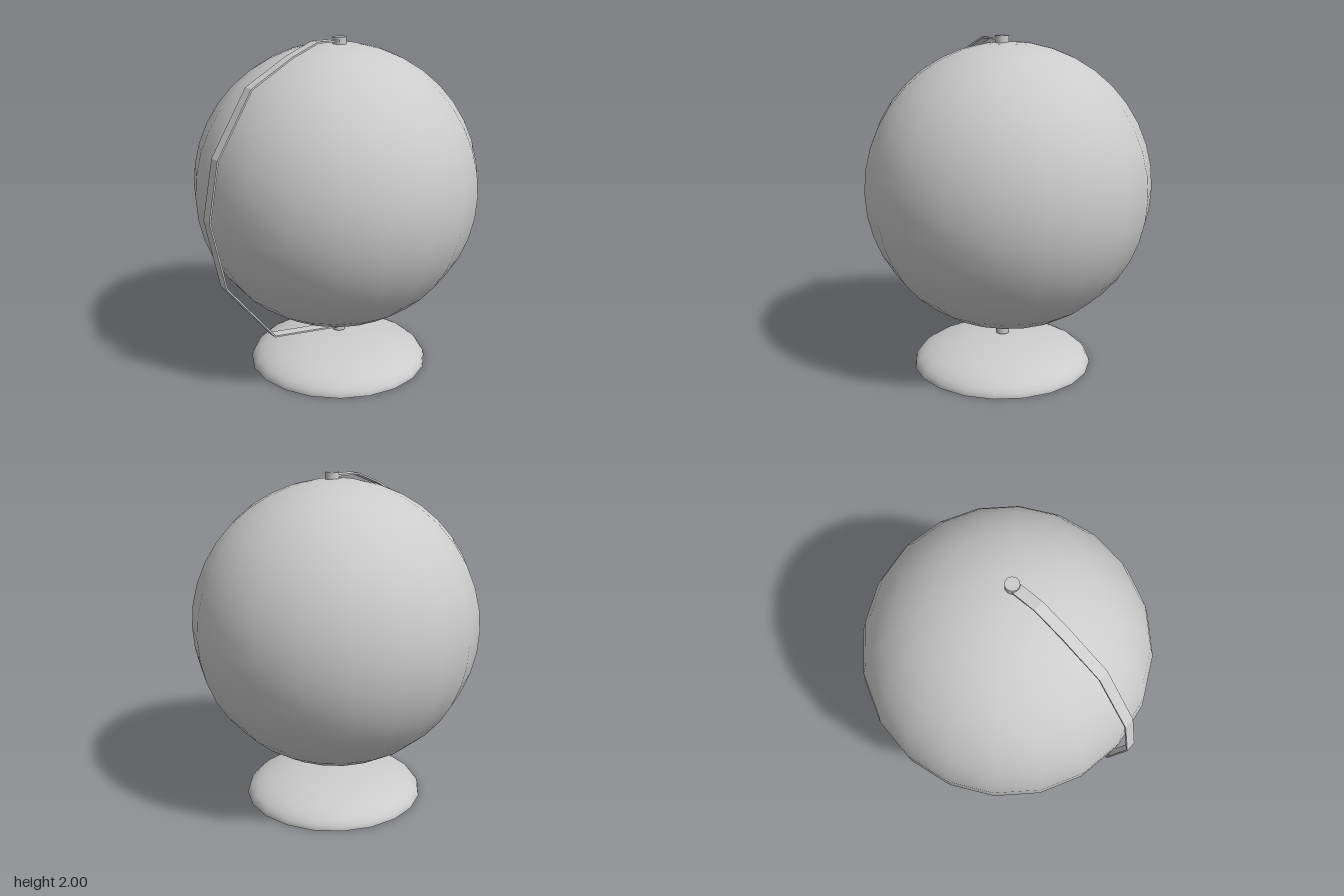
import * as THREE from 'three';

const AXIS_X = 0.037, AXIS_Z = -0.025;

export function createModel() {
  const group = new THREE.Group();
  const material = new THREE.MeshStandardMaterial({ color: 0xcccccc });
  const add = (name, geometry, x, y, z) => {
    const mesh = new THREE.Mesh(geometry, material);
    mesh.name = name;
    mesh.position.set(x, y, z);
    group.add(mesh);
    return mesh;
  };

  // Globe ball
  add('globe', new THREE.SphereGeometry(0.85, 20, 20), 0, 1.115, -0.03);

  // Axle running through the ball, showing at both poles
  add('axle', new THREE.CylinderGeometry(0.04, 0.04, 1.815, 20), AXIS_X, 1.0925, AXIS_Z);

  // Domed base with a flat underside
  const dome = new THREE.SphereGeometry(0.545, 20, 10, 0, Math.PI * 2, 0, Math.PI / 2);
  dome.scale(1, 0.175 / 0.545, 1);
  add('base', dome, AXIS_X, 0, -0.02);
  const underside = new THREE.CircleGeometry(0.545, 20);
  underside.rotateX(Math.PI / 2);
  add('baseUnderside', underside, AXIS_X, 0, -0.02);

  // Meridian arm: a thin strip bent around the front, centre line as (z, y)
  const path = [
    [-0.01, 1.98], [0.147, 1.98], [0.32, 1.912], [0.587, 1.767], [0.81, 1.41],
    [0.875, 1.075], [0.785, 0.665], [0.47, 0.283], [-0.01, 0.212],
  ].map(([z, y]) => new THREE.Vector2(z, y));
  const half = 0.005;
  const offset = (side) => path.map((p, i) => {
    const a = path[Math.max(i - 1, 0)], b = path[Math.min(i + 1, path.length - 1)];
    const along = b.clone().sub(a).normalize();
    return new THREE.Vector2(p.x - along.y * half * side, p.y + along.x * half * side);
  });
  const strip = new THREE.Shape([...offset(1), ...offset(-1).reverse()]);
  const width = 0.064;
  const arm = new THREE.ExtrudeGeometry(strip, { depth: width, bevelEnabled: false });
  arm.translate(0, 0, -width / 2);
  arm.rotateY(-Math.PI / 2);
  add('meridianArm', arm, AXIS_X, 0, 0);

  return group;
}
